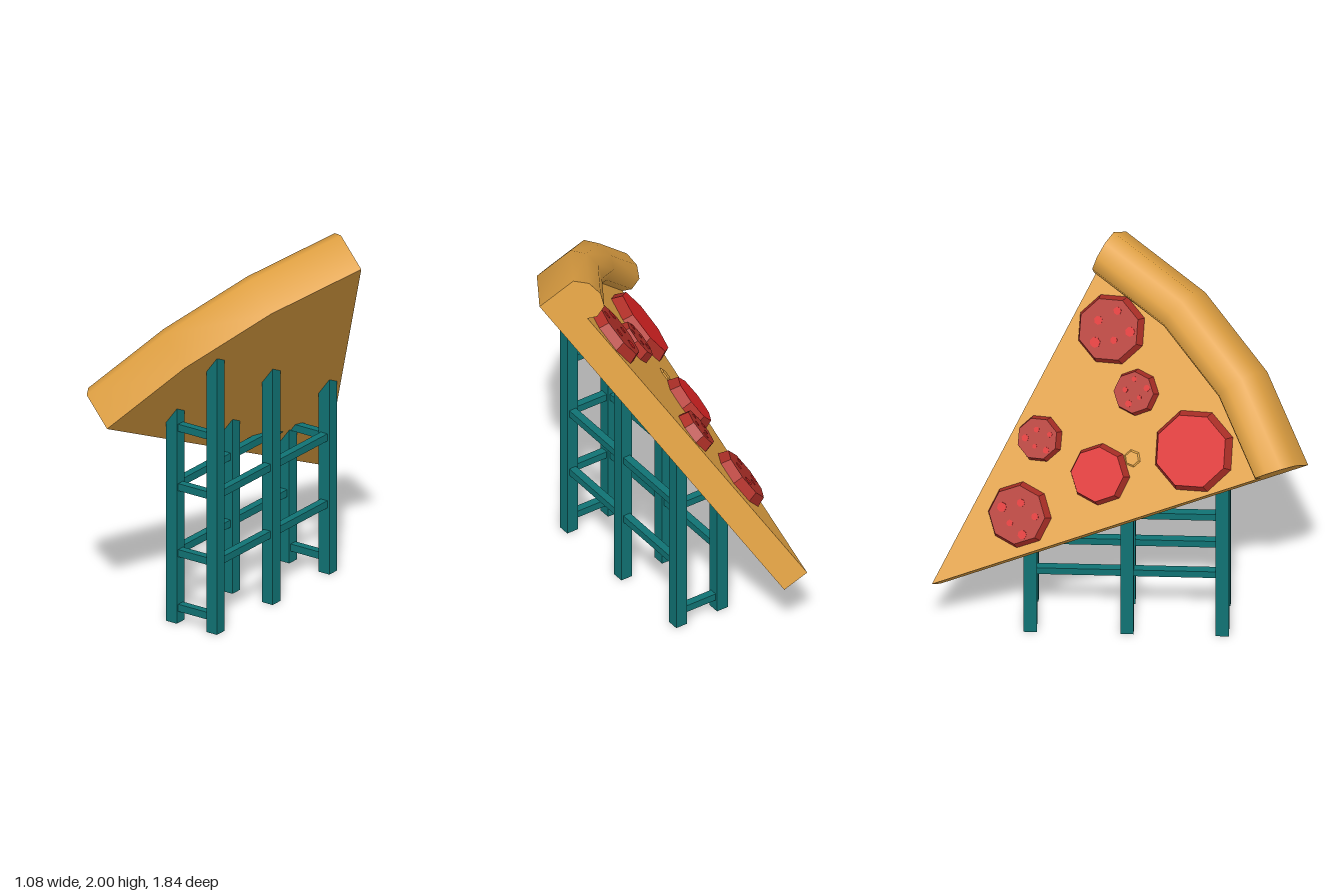
import * as THREE from 'three';
import { toCreasedNormals } from 'three/addons/utils/BufferGeometryUtils.js';

const material = (name, color, side = THREE.FrontSide) => {
  const m = new THREE.MeshStandardMaterial({ color, side });
  m.name = name;
  return m;
};

export function createModel() {
  const dough = material('golden dough', 0xdfa042, THREE.DoubleSide);
  const darkRed = material('dark red', 0xb03028);
  const brightRed = material('bright red', 0xd92323);
  const teal = material('teal', 0x107374);

  const model = new THREE.Group();
  model.name = 'pizzaSliceOnStand';
  const add = (parent, name, geometry, mat) => {
    const mesh = new THREE.Mesh(geometry, mat);
    mesh.name = name;
    parent.add(mesh);
    return mesh;
  };

  // Tilted slice frame: origin at the tip underside, +y through the topping, +z to the crust
  const tip = new THREE.Vector3(-0.31, 0.33, -0.88);
  const up = new THREE.Vector3(-0.775, 0.575, -0.264).normalize();
  const across = new THREE.Vector3().crossVectors(up, new THREE.Vector3(0.227, 0.642, 0.732)).normalize();
  const outward = new THREE.Vector3().crossVectors(across, up);
  const slice = new THREE.Group();
  slice.name = 'slice';
  slice.quaternion.setFromRotationMatrix(new THREE.Matrix4().makeBasis(across, up, outward));
  slice.position.copy(tip);
  model.add(slice);

  const half = 0.382, radius = 1.972, thick = 0.142, arcSteps = 3;

  // Flat wedge
  const wedge = new THREE.Shape();
  wedge.moveTo(0, 0);
  for (let i = 0; i <= arcSteps; i++) {
    const a = -half + (2 * half * i) / arcSteps;
    wedge.lineTo(Math.sin(a) * 1.77, -Math.cos(a) * 1.77);
  }
  wedge.closePath();
  const base = new THREE.ExtrudeGeometry(wedge, { depth: thick, bevelEnabled: false });
  base.rotateX(-Math.PI / 2);
  add(slice, 'sliceBase', base, dough);

  // Raised crust swept round the arc, closed by flat ends
  const profile = [[-0.202, 0], [0, 0], [0, 0.21], [-0.06, 0.262], [-0.14, 0.272],
    [-0.205, 0.245], [-0.225, 0.185], [-0.202, 0.14]]
    .map(([r, y]) => new THREE.Vector2(radius + r, y));
  const crust = new THREE.LatheGeometry(profile, arcSteps, -half, 2 * half);
  add(slice, 'crust', toCreasedNormals(crust, 1.0), dough);
  for (const a of [-half, half]) {
    const end = new THREE.ShapeGeometry(new THREE.Shape(profile));
    end.rotateY(a - Math.PI / 2);
    add(slice, 'crustEnd', end, dough);
  }

  // Small cheese bubble
  const bubble = new THREE.CylinderGeometry(0.035, 0.045, 0.008, 6).toNonIndexed();
  bubble.computeVertexNormals();
  add(slice, 'cheeseBubble', bubble, dough).position.set(-0.169, thick + 0.003, 1.187);

  // Pepperoni: [x, z, radius, plain bright top]
  const height = 0.05;
  const toppings = [
    [-0.02, 0.565, 0.155, false], [0.203, 0.882, 0.112, false], [-0.126, 1.01, 0.145, true],
    [0.387, 1.504, 0.17, false], [0.068, 1.408, 0.11, false], [-0.34, 1.455, 0.2, true],
  ];
  const spots = [[0.55, 0.4, 0.13], [2.0, 0.55, 0.16], [3.3, 0.35, 0.11], [4.3, 0.65, 0.15], [5.5, 0.6, 0.12]];
  toppings.forEach(([x, z, r, bright], n) => {
    const group = new THREE.Group();
    group.name = 'pepperoni';
    group.position.set(x, thick, z);
    group.rotation.y = n * 0.4;
    slice.add(group);
    const disc = new THREE.CylinderGeometry(r * 0.93, r * 1.05, height, 8).toNonIndexed();
    disc.computeVertexNormals();
    disc.translate(0, height / 2, 0);
    add(group, 'pepperoniDisc', disc, darkRed);
    if (bright) {
      const face = new THREE.CylinderGeometry(r * 0.93, r * 0.93, 0.003, 8);
      add(group, 'pepperoniFace', face, brightRed).position.y = height + 0.001;
    } else {
      for (const [a, d, s] of spots) {
        const spot = new THREE.CylinderGeometry(r * s, r * s, 0.003, 7);
        add(group, 'pepperoniSpot', spot, brightRed)
          .position.set(Math.sin(a) * d * r, height + 0.001, Math.cos(a) * d * r);
      }
    }
  });

  // Stand posts, with tops cut to the slope of the slice
  const stand = new THREE.Group();
  stand.name = 'stand';
  model.add(stand);
  const slopeY = (x, z) => tip.y - (up.x * (x - tip.x) + up.z * (z - tip.z)) / up.y;
  const postX = [-0.222, 0.02], postZ = [0.498, 0.032, -0.442], postWidth = 0.064;
  for (const x of postX) {
    for (const z of postZ) {
      const post = new THREE.BoxGeometry(postWidth, 1, postWidth);
      post.translate(x, 0.5, z);
      const p = post.attributes.position;
      for (let i = 0; i < p.count; i++) {
        if (p.getY(i) > 0.5) p.setY(i, slopeY(p.getX(i), p.getZ(i)));
      }
      const flat = post.toNonIndexed();
      flat.computeVertexNormals();
      add(stand, 'post', flat, teal);
    }
    // Long rails
    for (const y of [0.37, 0.725]) {
      add(stand, 'rail', new THREE.BoxGeometry(0.04, 0.038, 0.93), teal).position.set(x, y, 0.028);
    }
  }

  // Cross rungs on the front and back pairs
  const rungs = [[0.498, [0.08, 0.37, 0.72, 1.035]], [-0.442, [0.08, 0.72]]];
  for (const [z, heights] of rungs) {
    for (const y of heights) {
      add(stand, 'rung', new THREE.BoxGeometry(0.23, 0.038, 0.04), teal).position.set(-0.1, y, z);
    }
  }

  return model;
}
